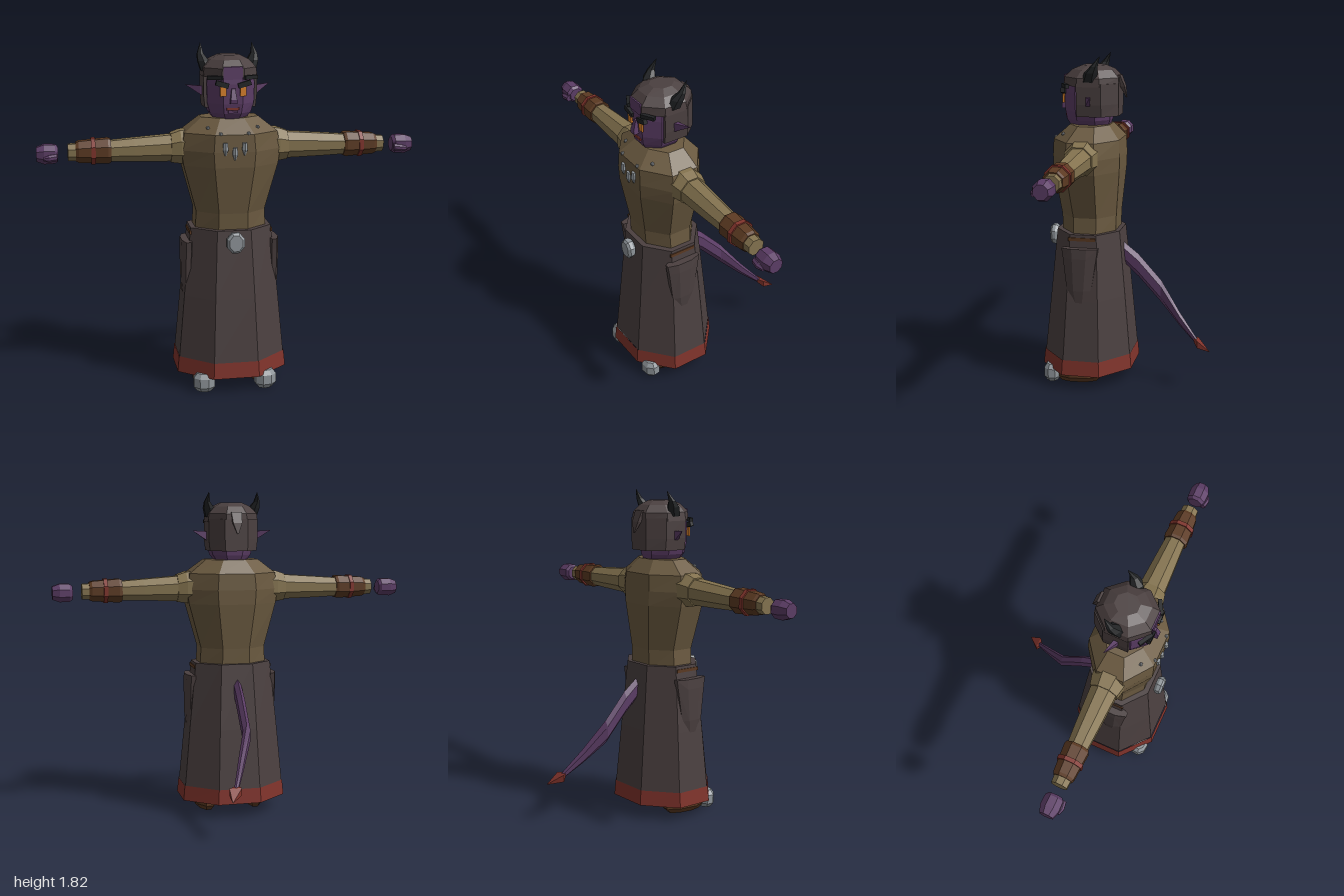
import * as THREE from 'three';

const mat = (name, color, side = THREE.FrontSide) => {
  const m = new THREE.MeshStandardMaterial({ color, side, flatShading: true });
  m.name = name;
  return m;
};

// Ring of n points around c; u x v must point along the loft direction.
function ring(c, u, v, n = 8) {
  const k = 1 / Math.cos(Math.PI / n);
  return Array.from({ length: n }, (_, i) => {
    const a = ((i + 0.5) / n) * Math.PI * 2;
    return new THREE.Vector3(...c)
      .addScaledVector(new THREE.Vector3(...u), k * Math.cos(a))
      .addScaledVector(new THREE.Vector3(...v), k * Math.sin(a));
  });
}
const ringY = (y, rx, z, rz, x = 0, n = 8) => ring([x, y, z], [rx, 0, 0], [0, 0, -rz], n);
const ringX = (x, y, ry, z, rz = ry, n = 8) => ring([x, y, z], [0, ry, 0], [0, 0, rz], n);
const ringBack = (x, y, z, rx, ry, n = 6) => ring([x, y, z], [rx, 0, 0], [0, -ry, 0], n);

// Skin a list of rings, optionally closing both ends.
function loft(rings, capped = true) {
  const pos = [];
  const tri = (...p) => p.forEach((q) => pos.push(q.x, q.y, q.z));
  const n = rings[0].length;
  for (let r = 0; r < rings.length - 1; r++) {
    const a = rings[r], b = rings[r + 1];
    for (let i = 0; i < n; i++) {
      const j = (i + 1) % n;
      tri(a[i], a[j], b[j]);
      tri(a[i], b[j], b[i]);
    }
  }
  if (capped) {
    const s = rings[0], e = rings[rings.length - 1];
    for (let i = 1; i < n - 1; i++) {
      tri(s[0], s[i + 1], s[i]);
      tri(e[0], e[i], e[i + 1]);
    }
  }
  const g = new THREE.BufferGeometry();
  g.setAttribute('position', new THREE.Float32BufferAttribute(pos, 3));
  g.computeVertexNormals();
  return g;
}

export function createModel() {
  const skin = mat('purple skin', 0x5c3d66);
  const tunic = mat('brown tunic', 0x6b5a40);
  const sleeve = mat('khaki sleeve', 0x84734f);
  const cloth = mat('dark cloth', 0x4b4040, THREE.DoubleSide);
  const red = mat('dark red', 0x80332b, THREE.DoubleSide);
  const leather = mat('brown leather', 0x5c3a22);
  const metal = mat('grey metal', 0x90969b);
  const black = mat('black horn', 0x202224);
  const orange = mat('orange eye', 0xdb822a);

  const model = new THREE.Group();
  const add = (parent, name, geometry, material, p = [0, 0, 0], r = [0, 0, 0]) => {
    const m = new THREE.Mesh(geometry, material);
    m.name = name;
    m.position.set(...p);
    m.rotation.set(...r);
    parent.add(m);
    return m;
  };
  const box = (w, h, d) => new THREE.BoxGeometry(w, h, d);
  const Z = 0.215;

  // Long skirt with a red hem, open below
  add(model, 'skirt', loft([ringY(0.16, 0.284, 0.22, 0.242), ringY(0.5, 0.253, 0.217, 0.21),
    ringY(0.865, 0.215, Z, 0.175)], false), cloth);
  add(model, 'skirtTop', loft([ringY(0.855, 0.214, Z, 0.174), ringY(0.865, 0.215, Z, 0.175)]), cloth);
  add(model, 'hem', loft([ringY(0.08, 0.295, 0.222, 0.253), ringY(0.165, 0.287, 0.221, 0.245)], false), red);

  // Tunic body
  add(model, 'torso', loft([ringY(0.84, 0.19, 0.213, 0.148), ringY(0.95, 0.183, 0.213, 0.152),
    ringY(1.2, 0.25, 0.22, 0.182), ringY(1.28, 0.262, 0.22, 0.184), ringY(1.37, 0.245, 0.22, 0.18),
    ringY(1.445, 0.15, 0.21, 0.108)]), tunic);

  // Belt buckle
  add(model, 'buckle', loft([[0.036, 0.045, 0.405], [0.046, 0.054, 0.42], [0.046, 0.054, 0.438], [0.034, 0.042, 0.45]]
    .map(([rx, ry, z]) => ring([0, 0.81, z], [rx, 0, 0], [0, ry, 0]))), metal);

  // Necklace teeth and beads
  for (const [x, y] of [[-0.05, 1.33], [0, 1.305], [0.05, 1.33]]) {
    add(model, 'necklaceTooth', loft([[0, 0.004], [0.03, 0.014], [0.065, 0.011]]
      .map(([h, r]) => ringY(y - 0.065 + h, r, 0.405, r, x, 6))), metal);
  }
  for (const s of [-1, 1]) {
    add(model, 'necklaceBead', new THREE.IcosahedronGeometry(0.011), metal, [s * 0.072, 1.375, 0.395]);
    add(model, 'necklaceBead', new THREE.IcosahedronGeometry(0.011), metal, [s * 0.13, 1.4, 0.34]);
  }

  // Head and face
  const head = new THREE.Group();
  head.name = 'head';
  model.add(head);
  add(head, 'face', loft([ringY(1.43, 0.08, 0.215, 0.1), ringY(1.47, 0.108, 0.22, 0.118), ringY(1.52, 0.122, 0.222, 0.124),
    ringY(1.62, 0.125, 0.223, 0.125), ringY(1.7, 0.118, 0.22, 0.122)]), skin);
  add(head, 'nose', loft([[1.525, 0.018, 0.026], [1.545, 0.016, 0.028], [1.6, 0.009, 0.01]]
    .map(([y, rx, rz]) => ringY(y, rx, 0.347, rz, 0, 4))), skin);
  add(head, 'mouth', box(0.066, 0.012, 0.008), red, [0, 1.495, 0.345]);
  add(head, 'lowerLip', box(0.05, 0.012, 0.02), skin, [0, 1.48, 0.338]);

  // Hair: crown cap, back fall, rear tuft and hairline notch
  add(head, 'hairCrown', loft([ringY(1.655, 0.142, 0.2, 0.15), ringY(1.7, 0.136, 0.2, 0.148),
    ringY(1.74, 0.1, 0.198, 0.11), ringY(1.762, 0.055, 0.195, 0.06)]), cloth);
  const fall = (y, k) => [[0.14, 0.265], [0.14, 0.13], [0.065, 0.05], [-0.065, 0.05], [-0.14, 0.13], [-0.14, 0.265]]
    .map(([x, z]) => new THREE.Vector3(x * k, y, z));
  add(head, 'hairBack', loft([fall(1.495, 0.95), fall(1.56, 1), fall(1.67, 1)]), cloth);
  add(head, 'hairTuft', loft([ringY(1.59, 0.004, 0.018, 0.003, 0, 4), ringY(1.65, 0.025, 0.036, 0.012, 0, 4),
    ringY(1.71, 0.03, 0.06, 0.012, 0, 4)]), cloth);
  add(head, 'forehead', box(0.1, 0.065, 0.008), skin, [0, 1.678, 0.348]);

  // Tail with a barbed tip
  add(model, 'tail', loft([ringBack(0, 0.745, 0.06, 0.02, 0.05), ringBack(0, 0.65, -0.05, 0.022, 0.056),
    ringBack(0, 0.505, -0.18, 0.021, 0.055), ringBack(0.06, 0.37, -0.295, 0.017, 0.034),
    ringBack(0.112, 0.262, -0.4, 0.011, 0.016)]), skin);
  add(model, 'tailBarb', loft([ringBack(0.108, 0.27, -0.385, 0.012, 0.012, 4), ringBack(0.115, 0.258, -0.405, 0.034, 0.02, 4),
    ringBack(0.147, 0.22, -0.475, 0.001, 0.001, 4)]), red);

  // Paired parts, built on +x and mirrored
  for (const s of [1, -1]) {
    const half = new THREE.Group();
    half.name = s > 0 ? 'leftSide' : 'rightSide';
    half.scale.x = s;
    model.add(half);

    add(half, 'shoulder', loft([ringX(0.2, 1.29, 0.09, Z), ringX(0.26, 1.29, 0.087, Z),
      ringX(0.31, 1.285, 0.075, Z)]), sleeve);
    add(half, 'arm', loft([ringX(0.29, 1.285, 0.07, Z), ringX(0.5, 1.28, 0.06, Z),
      ringX(0.64, 1.277, 0.052, Z), ringX(0.84, 1.275, 0.042, Z)]), sleeve);
    add(half, 'bracer', loft([ringX(0.62, 1.278, 0.06, Z), ringX(0.635, 1.278, 0.065, Z),
      ringX(0.785, 1.277, 0.055, Z), ringX(0.8, 1.277, 0.048, Z)]), leather);
    add(half, 'bracerBand', loft([ringX(0.7, 1.278, 0.067, Z), ringX(0.722, 1.278, 0.066, Z)]), red);
    add(half, 'hand', loft([ringX(0.89, 1.27, 0.036, 0.22), ringX(0.905, 1.27, 0.048, 0.22),
      ringX(0.96, 1.27, 0.05, 0.22), ringX(1, 1.27, 0.036, 0.22)]), skin);
    add(half, 'thumb', loft([ringX(0.895, 1.257, 0.018, 0.262), ringX(0.935, 1.253, 0.018, 0.268),
      ringX(0.965, 1.25, 0.01, 0.265)]), skin);

    // Hanging side pouch and belt strip
    add(half, 'sidePouch', loft([ringY(0.49, 0.022, 0.235, 0.045, 0.232), ringY(0.56, 0.028, 0.235, 0.068, 0.233),
      ringY(0.74, 0.033, 0.23, 0.092, 0.23), ringY(0.795, 0.03, 0.23, 0.1, 0.23)]), cloth);
    add(half, 'beltStrip', box(0.009, 0.018, 0.15), leather, [0.217, 0.84, 0.222]);

    // Boot with a metal toe, turned slightly outward
    add(half, 'boot', loft([[0, 0.035, 0.095], [0.03, 0.056, 0.125], [0.09, 0.058, 0.125], [0.14, 0.045, 0.1]]
      .map(([y, rx, rz]) => ringY(y, rx, 0, rz))), leather, [0.15, 0, 0.26], [0, 0.12, 0]);
    add(half, 'toeCap', loft([[0, 0.036, 0.03], [0.025, 0.056, 0.045], [0.075, 0.056, 0.045], [0.1, 0.038, 0.03]]
      .map(([y, rx, rz]) => ringY(y, rx, 0, rz))), metal, [0.165, 0, 0.412], [0, 0.12, 0]);

    // Horn, ear, eye and brows
    add(half, 'horn', loft([ringY(1.68, 0.03, 0.2, 0.035, 0.115, 6), ringY(1.73, 0.029, 0.185, 0.032, 0.13, 6),
      ringY(1.765, 0.016, 0.165, 0.018, 0.142, 6), ringY(1.818, 0.001, 0.135, 0.001, 0.137, 6)]), black);
    add(half, 'ear', loft([ringX(0.115, 1.57, 0.03, 0.205, 0.014, 4), ringX(0.15, 1.58, 0.022, 0.198, 0.012, 4),
      ringX(0.222, 1.606, 0.001, 0.172, 0.001, 4)]), skin);
    add(half, 'eye', box(0.032, 0.048, 0.009), orange, [0.052, 1.585, 0.352]);
    add(half, 'brow', box(0.068, 0.026, 0.022), black, [0.058, 1.622, 0.35], [0, 0, 0.28]);
    add(half, 'hairlineBar', box(0.08, 0.02, 0.02), black, [0.092, 1.655, 0.335], [0, 0.5, 0]);
  }
  return model;
}
